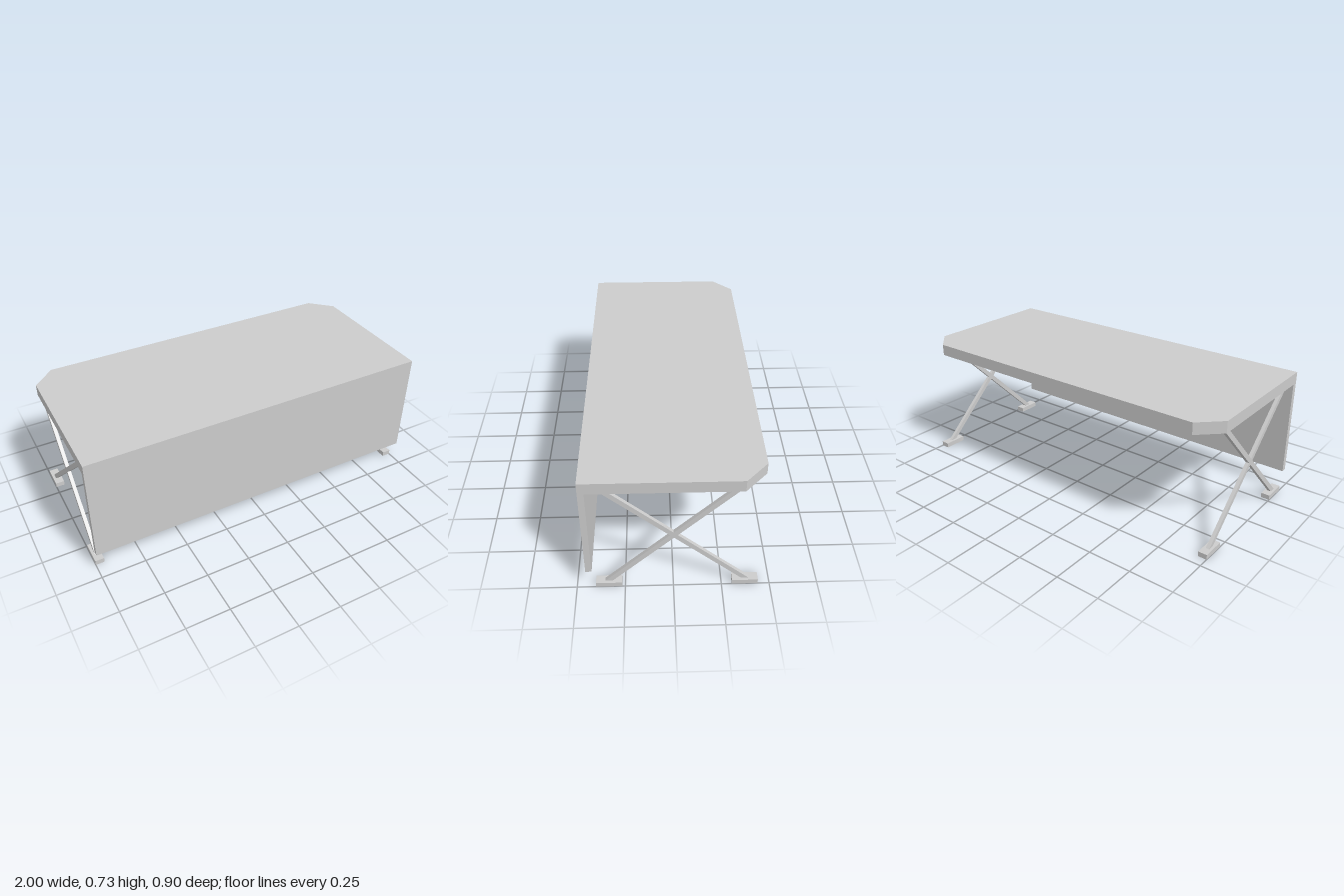
import * as THREE from 'three';

const material = new THREE.MeshStandardMaterial({ color: 0xcccccc, flatShading: true });

const TOP_UNDER = 0.665, TOP_HEIGHT = 0.73;
const FOOT_HEIGHT = 0.028, LEG_X = 0.975, LEG_THICKNESS = 0.02;

function addMesh(parent, name, geometry) {
  const mesh = new THREE.Mesh(geometry, material);
  mesh.name = name;
  parent.add(mesh);
  return mesh;
}

function extrude(points, depth) {
  const shape = new THREE.Shape(points.map(([x, y]) => new THREE.Vector2(x, y)));
  return new THREE.ExtrudeGeometry(shape, { depth, bevelEnabled: false });
}

// Slanted bar with level ends, running from the foot up to the table top
function legGeometry(bottomZ, topZ) {
  const half = 0.019;
  return extrude([
    [bottomZ - half, FOOT_HEIGHT], [bottomZ + half, FOOT_HEIGHT],
    [topZ + half, TOP_UNDER], [topZ - half, TOP_UNDER],
  ], LEG_THICKNESS).translate(0, 0, -LEG_THICKNESS / 2).rotateY(-Math.PI / 2);
}

export function createModel() {
  const model = new THREE.Group();
  model.name = 'desk';

  // Table top with the two back corners cut off
  const top = extrude([
    [-1, -0.45], [1, -0.45], [1, 0.335], [0.88, 0.45], [-0.88, 0.45], [-1, 0.335],
  ], TOP_HEIGHT - TOP_UNDER).rotateX(-Math.PI / 2);
  addMesh(model, 'tableTop', top).position.y = TOP_UNDER;

  // Front modesty panel hanging below the top
  const panelBottom = 0.12;
  const panel = new THREE.BoxGeometry(2, TOP_UNDER - panelBottom, 0.032);
  addMesh(model, 'frontPanel', panel)
    .position.set(0, (TOP_UNDER + panelBottom) / 2, 0.434);

  // Crossed legs on block feet at each end
  const foot = new THREE.BoxGeometry(0.05, FOOT_HEIGHT, 0.135);
  const risingBack = legGeometry(0.334, -0.305);
  const risingFront = legGeometry(-0.372, 0.335);
  for (const [side, sign] of [['left', 1], ['right', -1]]) {
    const trestle = new THREE.Group();
    trestle.name = `${side}Trestle`;
    trestle.position.x = sign * LEG_X;
    addMesh(trestle, `${side}FrontFoot`, foot).position.set(0, FOOT_HEIGHT / 2, 0.334);
    addMesh(trestle, `${side}BackFoot`, foot).position.set(0, FOOT_HEIGHT / 2, -0.372);
    addMesh(trestle, `${side}FrontLeg`, risingBack);
    addMesh(trestle, `${side}BackLeg`, risingFront);
    model.add(trestle);
  }

  return model;
}
